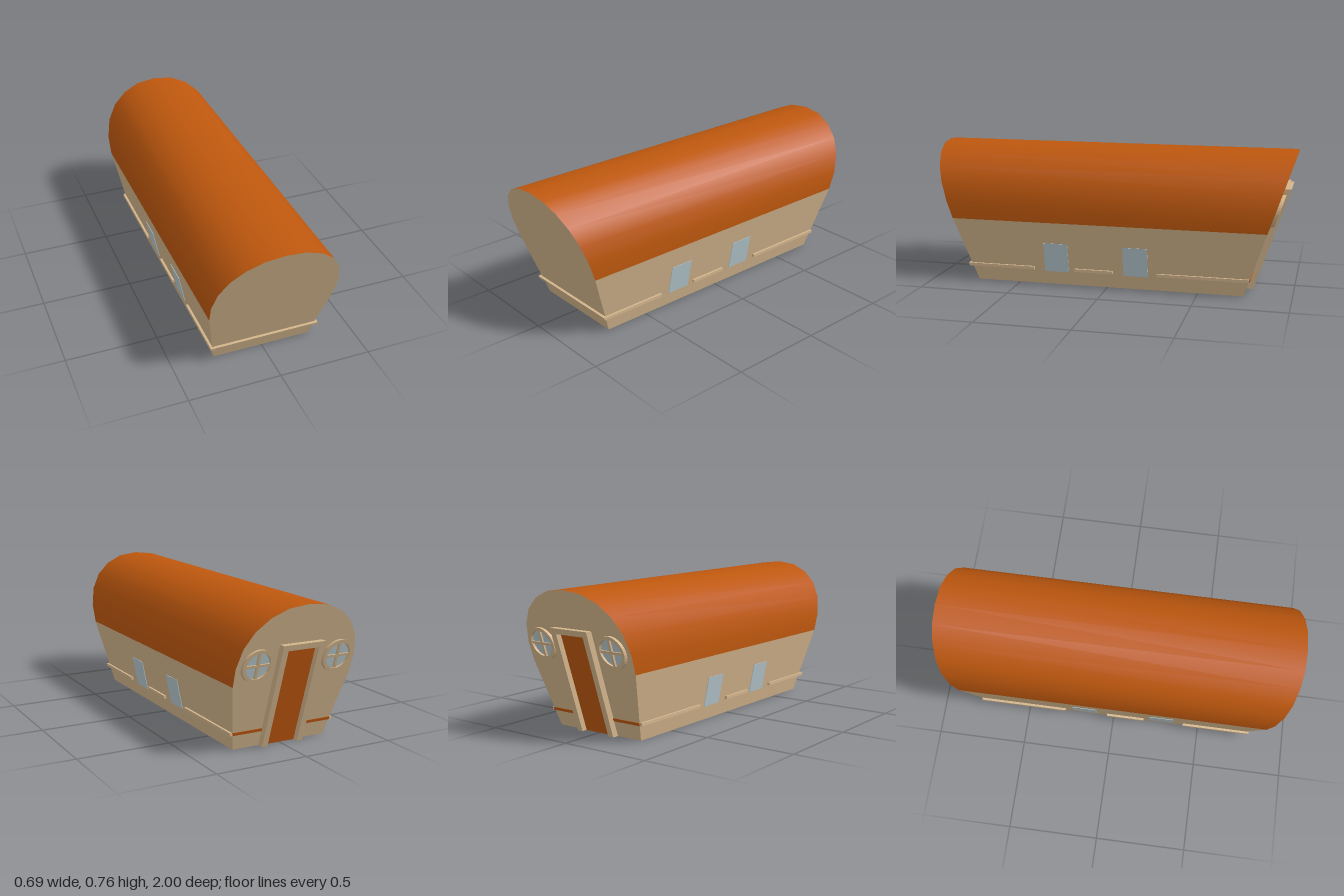
import * as THREE from 'three';

const tan = new THREE.MeshStandardMaterial({ color: 0xd2b48c });
const rust = new THREE.MeshStandardMaterial({ color: 0xbd570e });
const glass = new THREE.MeshStandardMaterial({ color: 0xb6c9cf });

// Both ends lean outwards: distance of the end wall from the middle at height y
const endZ = y => 0.745 + 0.336 * y;
// The side walls flare as well
const sideX = y => 0.27 + 0.194 * y;

// Roof arch, right half from eave to ridge, then mirrored
const half = [[0.34, 0.36], [0.343, 0.46], [0.321, 0.56], [0.273, 0.642], [0.2, 0.705], [0.11, 0.745]];
const arch = [...half, [0, 0.758], ...half.map(([x, y]) => [-x, y]).reverse()];

function add(parent, name, geometry, material) {
  const mesh = new THREE.Mesh(geometry, material);
  mesh.name = name;
  parent.add(mesh);
  return mesh;
}

// Surface swept between the two leaning ends along a cross-section
function strip(points) {
  const pos = [], index = [];
  points.forEach(([x, y], i) => {
    pos.push(x, y, endZ(y), x, y, -endZ(y));
    if (i < points.length - 1) {
      const a = i * 2;
      index.push(a, a + 1, a + 2, a + 1, a + 3, a + 2);
    }
  });
  const g = new THREE.BufferGeometry();
  g.setAttribute('position', new THREE.Float32BufferAttribute(pos, 3));
  g.setIndex(index);
  g.computeVertexNormals();
  return g;
}

// Shears a geometry so that its z = 0 plane lies on the leaning end wall
function lean(g) {
  const p = g.attributes.position;
  for (let i = 0; i < p.count; i++) p.setZ(i, p.getZ(i) + endZ(p.getY(i)));
  g.computeVertexNormals();
  return g;
}

const box = (w, h, d, x, y, z) => new THREE.BoxGeometry(w, h, d).translate(x, y, z);
const extrude = (shape, depth) =>
  new THREE.ExtrudeGeometry(shape, { depth, bevelEnabled: false, curveSegments: 16 });
const outline = pts => new THREE.Shape(pts.map(([x, y]) => new THREE.Vector2(x, y)));
const endWall = () => lean(new THREE.ShapeGeometry(outline([[-0.27, 0], [0.27, 0], ...arch])));

function roundWindow(x, y) {
  const g = new THREE.Group();
  g.name = 'roundWindow';
  const r = 0.086, inner = 0.068;
  const ring = new THREE.Shape().absarc(x, y, r, 0, Math.PI * 2);
  ring.holes.push(new THREE.Path().absarc(x, y, inner, 0, Math.PI * 2, true));
  add(g, 'windowRim', lean(extrude(ring, 0.02)), tan);
  add(g, 'windowPane', lean(new THREE.CircleGeometry(inner, 32).translate(x, y, 0.004)), glass);
  add(g, 'verticalBar', lean(box(0.013, inner * 2, 0.014, x, y, 0.009)), tan);
  add(g, 'horizontalBar', lean(box(inner * 2, 0.013, 0.014, x, y, 0.009)), tan);
  return g;
}

export function createModel() {
  const model = new THREE.Group();
  model.name = 'barrelCabin';

  // Shell
  add(model, 'roof', strip(arch), rust);
  add(model, 'rightWall', strip([[0.27, 0], [0.34, 0.36]]), tan);
  add(model, 'leftWall', strip([[-0.34, 0.36], [-0.27, 0]]), tan);
  add(model, 'floor', strip([[-0.27, 0], [0.27, 0]]), tan);
  add(model, 'frontWall', endWall(), tan);

  // Front rail
  add(model, 'frontRail', lean(box(0.604, 0.016, 0.032, 0, 0.092, 0)), tan);

  // Side rails and windows, the same on both sides
  for (const s of [1, -1]) {
    for (const [z0, z1] of [[0.41, 0.79], [-0.035, 0.18], [-0.775, -0.28]])
      add(model, 'sideRail', box(0.03, 0.016, z1 - z0, s * 0.287, 0.092, (z0 + z1) / 2), tan);
    for (const z of [0.282, -0.162]) {
      const pane = new THREE.BoxGeometry(0.006, 0.165, 0.136).translate(0, 0.158, z);
      const p = pane.attributes.position;
      for (let i = 0; i < p.count; i++) p.setX(i, p.getX(i) + s * sideX(p.getY(i)));
      pane.computeVertexNormals();
      add(model, 'sideWindow', pane, glass);
    }
  }

  // Back end, built facing +z and turned round
  const back = new THREE.Group();
  back.name = 'backEnd';
  back.rotation.y = Math.PI;
  model.add(back);
  add(back, 'backWall', endWall(), tan);
  const frame = outline([
    [-0.12, 0], [-0.088, 0], [-0.088, 0.53], [0.088, 0.53],
    [0.088, 0], [0.12, 0], [0.12, 0.56], [-0.12, 0.56]]);
  add(back, 'doorFrame', lean(extrude(frame, 0.037)), tan);
  add(back, 'door', lean(box(0.176, 0.53, 0.006, 0, 0.265, 0.002)), rust);
  for (const s of [1, -1]) {
    add(back, 'backStrip', lean(box(0.168, 0.016, 0.006, s * 0.204, 0.092, 0.001)), rust);
    back.add(roundWindow(s * 0.23, 0.463));
  }
  return model;
}
